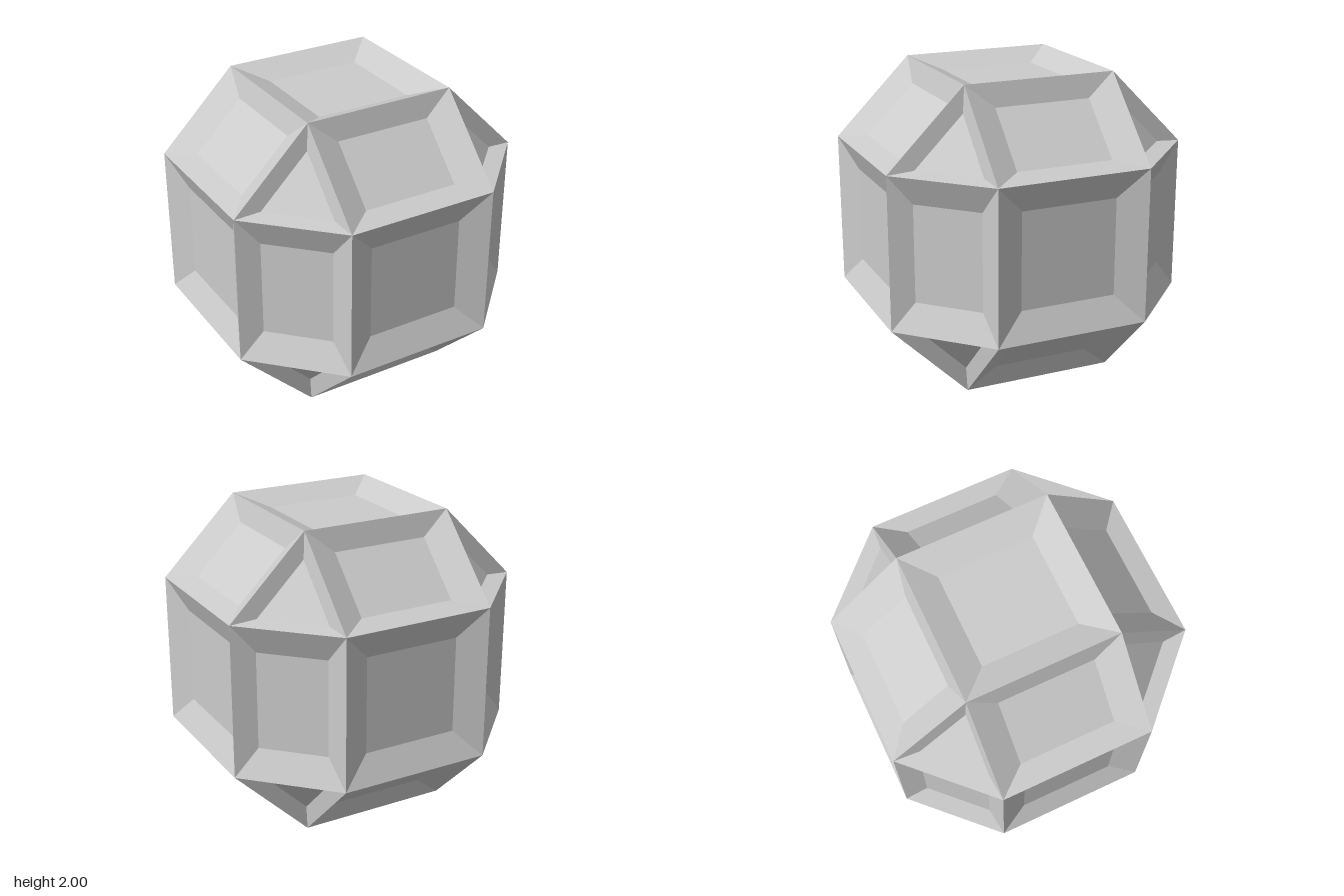
import * as THREE from 'three';

const INSET = 0.63;   // panel size relative to its face
const DEPTH = 0.08;   // how far each panel is sunk
const SIGNS = [-1, 0, 1];

// The 24 corners: every arrangement of (±1, ±0.5, ±0.5)
function solidCorners() {
  const corners = [];
  for (let axis = 0; axis < 3; axis++)
    for (let i = 0; i < 8; i++) {
      const c = [0, 1, 2].map(k => (i >> k & 1 ? 1 : -1) * (k === axis ? 1 : 0.5));
      corners.push(new THREE.Vector3(...c));
    }
  return corners;
}

// Corners of the face looking along a direction, counter-clockwise from outside
function faceLoop(corners, direction) {
  const reach = Math.max(...corners.map(c => c.dot(direction)));
  const loop = corners.filter(c => c.dot(direction) > reach - 1e-6);
  const normal = direction.clone().normalize();
  const center = new THREE.Vector3();
  loop.forEach(c => center.addScaledVector(c, 1 / loop.length));
  const u = loop[0].clone().sub(center).normalize();
  const v = normal.clone().cross(u);
  const angle = c => {
    const d = c.clone().sub(center);
    return Math.atan2(d.dot(v), d.dot(u));
  };
  loop.sort((a, b) => angle(a) - angle(b));
  return { loop, center, normal };
}

// Sloping rim around a smaller sunken panel
function addSunkenFace(points, { loop, center, normal }) {
  const inner = loop.map(c =>
    center.clone().lerp(c, INSET).addScaledVector(normal, -DEPTH));
  loop.forEach((a, i) => {
    const j = (i + 1) % loop.length;
    points.push(a, loop[j], inner[j], a, inner[j], inner[i]);
  });
  for (let i = 1; i < inner.length - 1; i++)
    points.push(inner[0], inner[i], inner[i + 1]);
}

export function createModel() {
  const model = new THREE.Group();
  model.name = 'facetedSolid';
  const material = new THREE.MeshStandardMaterial({ color: 0xcccccc, flatShading: true });
  const corners = solidCorners();

  // Square, rectangular and triangular faces look along 1, 2 or 3 axes
  const names = ['squareFaces', 'edgeFaces', 'cornerFaces'];
  const points = [[], [], []];
  for (const x of SIGNS) for (const y of SIGNS) for (const z of SIGNS) {
    const axes = Math.abs(x) + Math.abs(y) + Math.abs(z);
    if (axes) addSunkenFace(points[axes - 1], faceLoop(corners, new THREE.Vector3(x, y, z)));
  }

  names.forEach((name, i) => {
    const geometry = new THREE.BufferGeometry().setFromPoints(points[i]);
    geometry.computeVertexNormals();
    const mesh = new THREE.Mesh(geometry, material);
    mesh.name = name;
    mesh.position.y = 1;
    model.add(mesh);
  });
  return model;
}
